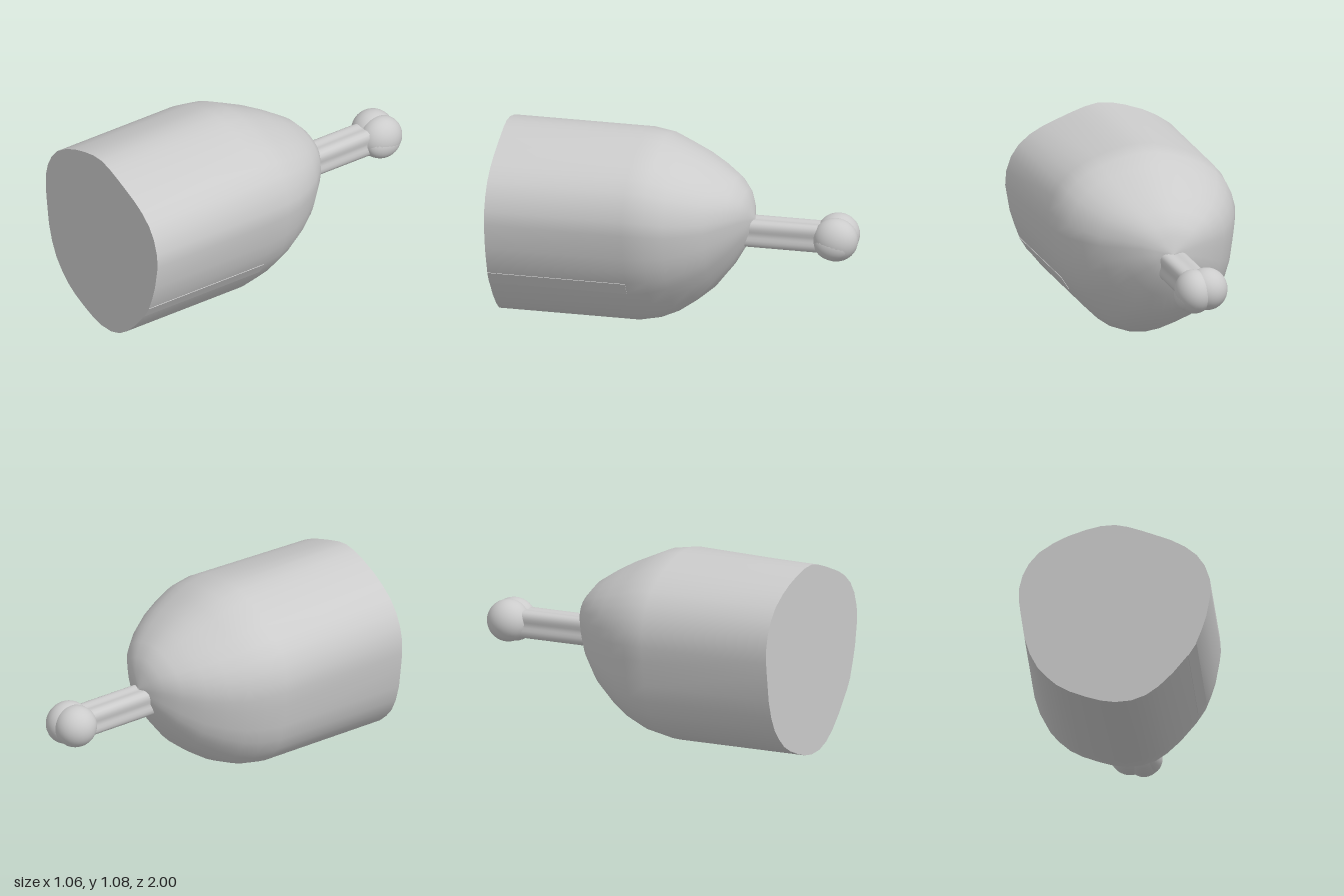
import * as THREE from 'three';

const material = new THREE.MeshStandardMaterial({ color: 0xcccccc });

// Body outline, clockwise from the top
const outline = [
  [0, 1.08], [.08, 1.075], [.17, 1.055], [.26, 1.025], [.33, .995], [.4, .95], [.46, .89], [.5, .82],
  [.525, .735], [.53, .655], [.505, .51], [.48, .43], [.45, .35], [.4, .27], [.32, .17], [.24, .09],
  [.17, .04], [.09, .01], [0, .003], [-.08, .015], [-.16, .04], [-.25, .075], [-.32, .115], [-.38, .17],
  [-.43, .23], [-.47, .31], [-.5, .41], [-.52, .55], [-.53, .63], [-.53, .71], [-.51, .79], [-.475, .86],
  [-.42, .925], [-.34, .98], [-.26, 1.02], [-.16, 1.055], [-.08, 1.075],
];

// Dome stations: z, top, bottom, half width
const stations = [
  [.22, 1.08, 0, .53], [.1, 1.06, .025, .515], [0, 1.015, .07, .48], [-.1, .97, .14, .43],
  [-.2, .915, .225, .36], [-.3, .85, .355, .26], [-.36, .785, .46, .17], [-.39, .72, .53, .1],
  [-.41, .625, .62, .005],
];

// Skin over closed rings of equal length, running from +z to -z
function loft(rings) {
  const n = rings[0].length, index = [];
  for (let i = 0; i < rings.length - 1; i++) {
    for (let j = 0; j < n; j++) {
      const k = (j + 1) % n, a = i * n + j, b = i * n + k;
      index.push(a, b, a + n, b, b + n, a + n);
    }
  }
  const geometry = new THREE.BufferGeometry();
  geometry.setAttribute('position', new THREE.Float32BufferAttribute(rings.flat(2), 3));
  geometry.setIndex(index);
  geometry.computeVertexNormals();
  return geometry;
}

export function createModel() {
  const model = new THREE.Group();
  const add = (name, geometry) => {
    const mesh = new THREE.Mesh(geometry, material);
    mesh.name = name;
    model.add(mesh);
    return mesh;
  };

  // Body with domed back; the front rim is drawn in a little at the upper corner
  const front = outline.map(([x, y]) => {
    const pull = x > 0 && y > .65 ? .02 * Math.sin(Math.PI * Math.min(1, x / .53)) : 0;
    return [x - pull, y - pull, 1];
  });
  const dome = stations.map(([z, top, bottom, half]) =>
    outline.map(([x, y]) => [x * half / .53, bottom + (y / 1.08) * (top - bottom), z]));
  add('body', loft([front, ...dome]));

  // Flat front face
  const face = new THREE.Shape(front.map(([x, y]) => new THREE.Vector2(x, y)));
  add('frontFace', new THREE.ShapeGeometry(face)).position.z = 1;

  // Shallow strip along the lower left flank
  const strip = add('sideStrip', new THREE.BoxGeometry(.01, .085, .78));
  strip.position.set(.424, .312, .61);
  strip.rotation.z = -Math.atan2(.05, .08);

  // Stick with four rounded flutes
  const stickRing = z => Array.from({ length: 32 }, (_, i) => {
    const t = -i / 32 * Math.PI * 2;
    const r = .084 - .012 * Math.cos(4 * t);
    return [-.01 + r * Math.cos(t), .55 + r * Math.sin(t), z];
  });
  add('stick', loft([stickRing(-.3), stickRing(-.85)]));

  // Lobed knob at the end of the stick
  const lobes = [
    [-.05, .56, -.87, .115, .118, .12],
    [.025, .552, -.872, .105, .122, .126],
    [.06, .53, -.865, .07, .085, .105],
  ];
  for (const [x, y, z, rx, ry, rz] of lobes) {
    const lobe = new THREE.SphereGeometry(1, 28, 20).scale(rx, ry, rz);
    add('knobLobe', lobe).position.set(x, y, z);
  }
  return model;
}
